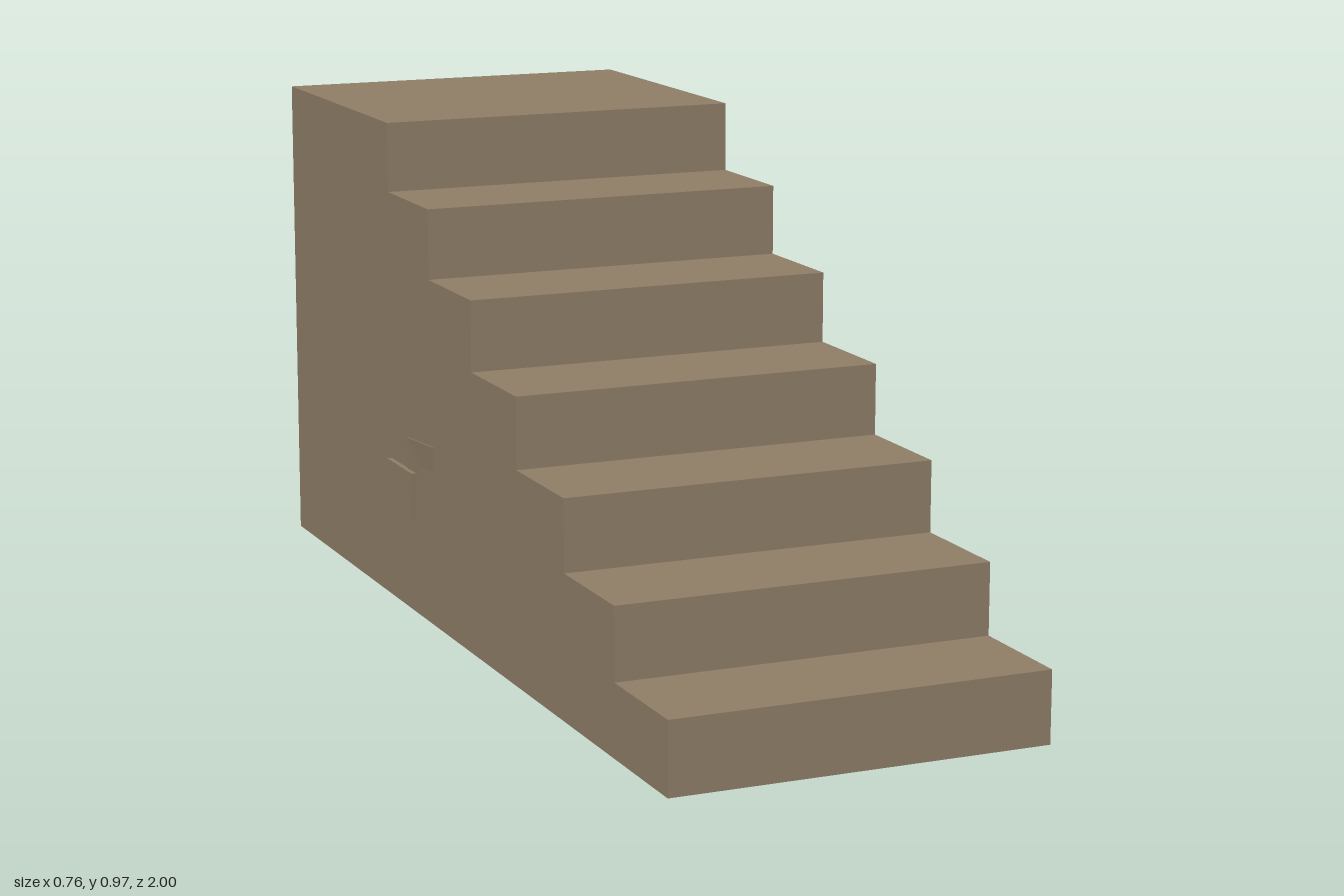
import * as THREE from 'three';

const stone = new THREE.MeshStandardMaterial({ color: 0x8f7d66 });
stone.name = 'stone';

const RIGHT = -0.372, LEFT = 0.367;   // side walls of the staircase
const STEPS = 7, RISE = 0.97 / STEPS, TREAD = 0.231;

// Extrudes a [z, y] outline along x, from x0 to x1
function sideExtrusion(name, points, x0, x1) {
  const shape = new THREE.Shape(points.map(([z, y]) => new THREE.Vector2(-z, y)));
  const geometry = new THREE.ExtrudeGeometry(shape, { depth: x1 - x0, bevelEnabled: false });
  geometry.rotateY(Math.PI / 2).translate(x0, 0, 0);
  const mesh = new THREE.Mesh(geometry, stone);
  mesh.name = name;
  return mesh;
}

export function createModel() {
  const group = new THREE.Group();
  group.name = 'staircase';

  // Solid flight of steps with a deep top landing
  const outline = [[-1, 0], [1, 0]];
  for (let i = 0; i < STEPS; i++) {
    const front = 1 - i * TREAD;
    const back = i === STEPS - 1 ? -1 : front - TREAD;
    outline.push([front, (i + 1) * RISE], [back, (i + 1) * RISE]);
  }
  group.add(sideExtrusion('steps', outline, RIGHT, LEFT));

  // Raised bricks on the left wall
  group.add(sideExtrusion('upperLeftBrick',
    [[-0.07, 0.522], [-0.222, 0.522], [-0.215, 0.44], [-0.063, 0.44]], LEFT - 0.02, 0.378));
  group.add(sideExtrusion('lowerLeftBrick',
    [[-0.292, 0.233], [-0.443, 0.233], [-0.456, 0.22], [-0.456, 0.165], [-0.445, 0.152], [-0.302, 0.152]],
    LEFT - 0.02, 0.38));

  // Raised brick on the right wall
  group.add(sideExtrusion('lowerRightBrick',
    [[-0.24, 0.288], [-0.385, 0.288], [-0.41, 0.275], [-0.405, 0.19], [-0.39, 0.182], [-0.25, 0.192]],
    -0.382, RIGHT + 0.02));

  // Nearly flush brick, leaning so only its upper back part stands out
  const flush = sideExtrusion('upperRightBrick',
    [[-0.138, 0.363], [-0.288, 0.352], [-0.286, 0.27], [-0.145, 0.28]], -0.375, RIGHT + 0.02);
  const p = flush.geometry.attributes.position;
  for (let i = 0; i < p.count; i++) {
    if (p.getX(i) < RIGHT && p.getY(i) < 0.3) p.setX(i, p.getZ(i) < -0.2 ? -0.3725 : -0.37);
  }
  flush.geometry.computeVertexNormals();
  group.add(flush);

  return group;
}
